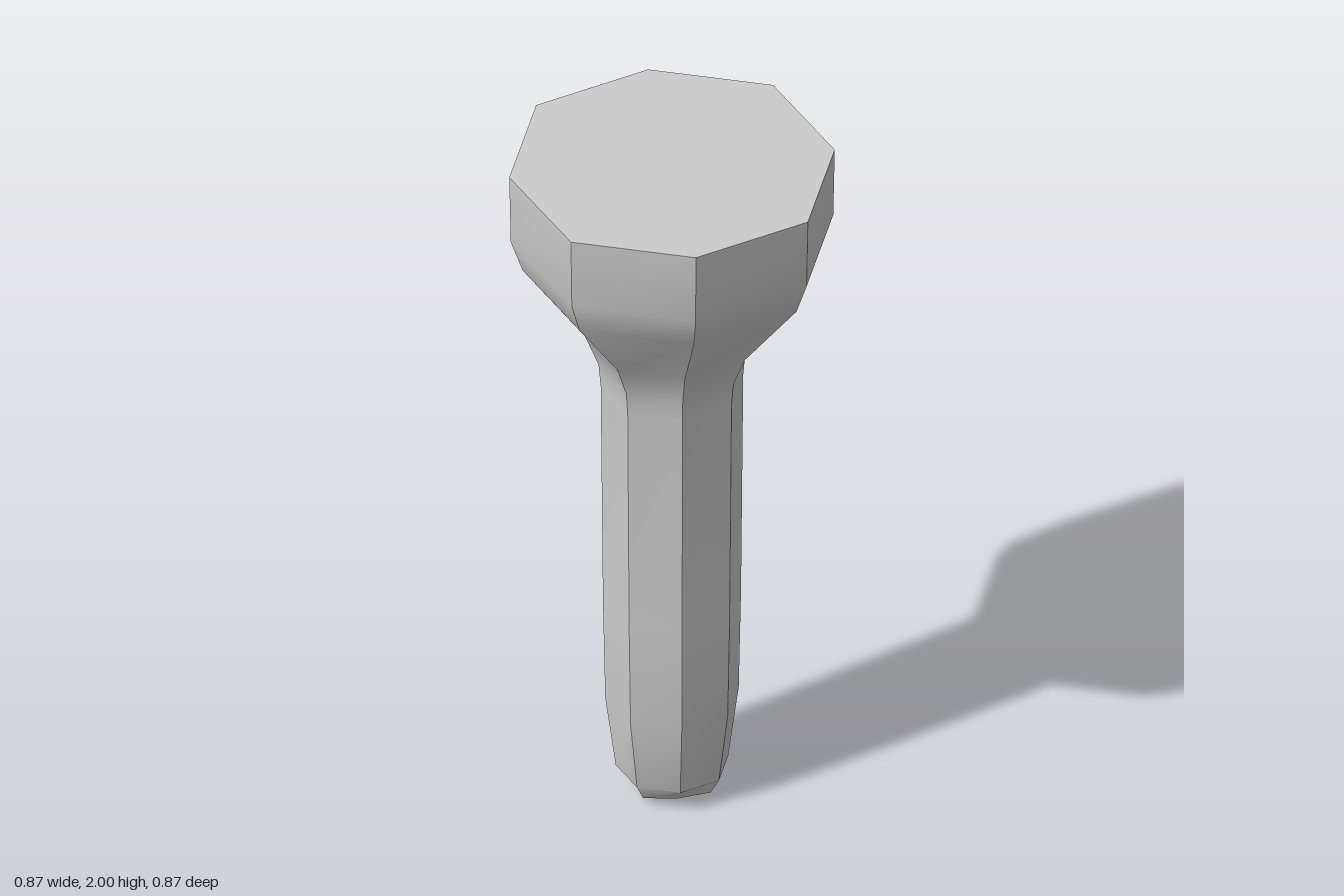
import * as THREE from 'three';
import { toCreasedNormals } from 'three/addons/utils/BufferGeometryUtils.js';

// Octagonal ring: corners on the axes at distance a, diagonal corners at (d, d)
function ring(a, ya, d, yd = ya) {
  return [[a, ya, 0], [d, yd, d], [0, ya, a], [-d, yd, d],
    [-a, ya, 0], [-d, yd, -d], [0, ya, -a], [d, yd, -d]];
}

// Skins a stack of rings (bottom to top) and closes both ends with a centre point
function skin(rings, bottomY, topY) {
  const pos = rings.flat(2);
  const index = [];
  const n = 8;
  const bottom = rings.length * n, top = bottom + 1;
  pos.push(0, bottomY, 0, 0, topY, 0);
  for (let i = 0; i < n; i++) {
    const j = (i + 1) % n;
    for (let r = 0; r < rings.length - 1; r++) {
      const a = r * n + i, b = r * n + j;
      index.push(a, a + n, b, b, a + n, b + n);
    }
    const last = (rings.length - 1) * n;
    index.push(bottom, i, j, top, last + j, last + i);
  }
  const geometry = new THREE.BufferGeometry();
  geometry.setAttribute('position', new THREE.Float32BufferAttribute(pos, 3));
  geometry.setIndex(index);
  // Smooth along the height, sharp between the eight sides
  return toCreasedNormals(geometry, 0.47);
}

export function createModel() {
  const group = new THREE.Group();
  group.name = 'peg';
  const material = new THREE.MeshStandardMaterial({ color: 0xcccccc });

  // Profile from the foot of the shaft to the flared head: [radius, height]
  const profile = [
    [0.15, 0.07], [0.178, 0.29], [0.184, 0.6], [0.19, 1.3], [0.196, 1.37],
    [0.232, 1.465], [0.398, 1.695], [0.43, 1.79], [0.434, 2],
  ];
  const rings = profile.map(([r, y]) => ring(r, y, r * 0.728));

  // Blunt tip: nearly square end below the octagonal shaft
  rings.unshift(ring(0.094, 0.012, 0.09, 0.02));

  const body = new THREE.Mesh(skin(rings, 0, 2), material);
  body.name = 'shaftAndHead';
  group.add(body);
  return group;
}
